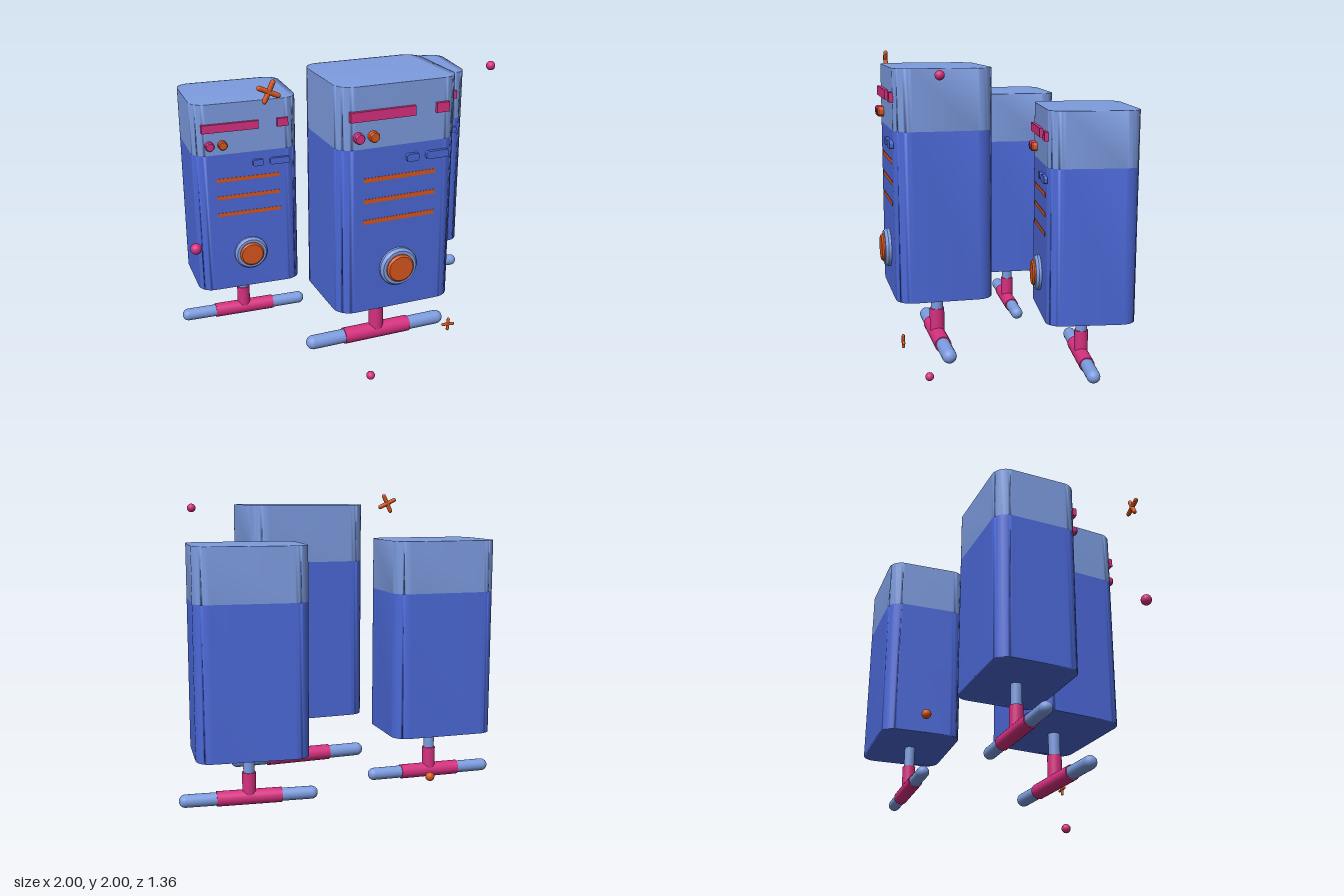
import * as THREE from 'three';
import { mergeVertices, toCreasedNormals } from 'three/addons/utils/BufferGeometryUtils.js';

const mat = (color) => new THREE.MeshStandardMaterial({ color });
const BLUE = mat(0x4c69d8), SKY = mat(0x7d9ce0), PINK = mat(0xd6307f), ORANGE = mat(0xd8561f);

function add(parent, name, geometry, material, x = 0, y = 0, z = 0) {
  const mesh = new THREE.Mesh(geometry, material);
  mesh.name = name;
  mesh.position.set(x, y, z);
  parent.add(mesh);
  return mesh;
}

function roundedRect(w, h, r) {
  const s = new THREE.Shape(), x = w / 2, y = h / 2;
  s.moveTo(-x + r, -y);
  s.lineTo(x - r, -y);
  s.absarc(x - r, -y + r, r, -Math.PI / 2, 0);
  s.lineTo(x, y - r);
  s.absarc(x - r, y - r, r, 0, Math.PI / 2);
  s.lineTo(-x + r, y);
  s.absarc(-x + r, y - r, r, Math.PI / 2, Math.PI);
  s.lineTo(-x, -y + r);
  s.absarc(-x + r, -y + r, r, Math.PI, Math.PI * 1.5);
  return s;
}

// Upright rounded block with softly blended normals
function softBlock(w, h, d, r) {
  const g = new THREE.ExtrudeGeometry(roundedRect(w, d, r), { depth: h, bevelEnabled: false, curveSegments: 6 });
  g.rotateX(-Math.PI / 2);
  g.deleteAttribute('normal');
  g.deleteAttribute('uv');
  const soft = mergeVertices(g, 1e-4);
  soft.computeVertexNormals();
  return soft;
}

// Round part facing +z, turned from a radius / depth profile
function turned(points) {
  const g = new THREE.LatheGeometry(points.map(([r, z]) => new THREE.Vector2(r, z)), 32);
  g.rotateX(Math.PI / 2);
  return toCreasedNormals(g, 0.6);
}

const W = 0.62, D = 0.49, FRONT = D / 2;

// One server, measured from the centre of its foot bar
function createServer(name) {
  const s = new THREE.Group();
  s.name = name;

  add(s, 'cabinet', softBlock(W, 0.85, D, 0.085), BLUE, 0, 0.27, 0);
  add(s, 'head', softBlock(W, 0.30, D, 0.085), SKY, 0, 1.12, 0);

  // Display strips on the head
  add(s, 'longStrip', new THREE.BoxGeometry(0.33, 0.048, 0.04), PINK, -0.095, 1.282, FRONT - 0.003);
  add(s, 'shortStrip', new THREE.BoxGeometry(0.065, 0.048, 0.04), PINK, 0.2125, 1.282, FRONT - 0.003);

  // Round buttons
  const button = turned([[0.026, 0], [0.026, 0.025], [0.021, 0.032], [0, 0.032]]);
  add(s, 'pinkButton', button, PINK, -0.218, 1.18, FRONT);
  add(s, 'orangeButton', button, ORANGE, -0.143, 1.18, FRONT);

  // Rounded keys
  for (const [x, w] of [[0.062, 0.062], [0.192, 0.118]]) {
    const key = new THREE.ExtrudeGeometry(roundedRect(w, 0.038, 0.01), { depth: 0.018, bevelEnabled: false, curveSegments: 4 });
    add(s, 'key', toCreasedNormals(key, 0.6), BLUE, x, 1.052, FRONT);
  }

  // Vent slots
  for (const y of [0.963, 0.856, 0.75]) {
    add(s, 'ventSlot', new THREE.BoxGeometry(0.375, 0.022, 0.02), ORANGE, 0.002, y, FRONT - 0.008);
  }

  // Dial and its ring
  add(s, 'dialRing', turned([[0.099, 0], [0.099, 0.014], [0.088, 0.029], [0.072, 0.029], [0.072, 0]]), SKY, 0, 0.49, FRONT);
  add(s, 'dial', turned([[0.072, 0], [0.072, 0.036], [0.063, 0.045], [0, 0.045]]), ORANGE, 0, 0.49, FRONT);

  // Post and foot
  add(s, 'post', new THREE.CylinderGeometry(0.032, 0.032, 0.28, 24), SKY, 0, 0.14, 0);
  add(s, 'postSleeve', new THREE.CylinderGeometry(0.039, 0.039, 0.145, 24), PINK, 0, 0.0725, 0);
  add(s, 'footBar', new THREE.CapsuleGeometry(0.037, 0.716, 8, 24), SKY).rotation.z = Math.PI / 2;
  add(s, 'footSleeve', new THREE.CylinderGeometry(0.043, 0.043, 0.37, 24), PINK).rotation.z = Math.PI / 2;
  return s;
}

// Floating cross of two rounded rods
function createCross(half, r, tilt) {
  const c = new THREE.Group();
  c.name = 'floatingCross';
  const rod = new THREE.CapsuleGeometry(r, 2 * (half - r), 6, 12);
  add(c, 'rod', rod, ORANGE);
  add(c, 'rod', rod, ORANGE).rotation.z = Math.PI / 2;
  c.rotation.z = tilt;
  return c;
}

export function createModel() {
  const model = new THREE.Group();
  model.name = 'serverTrio';

  const servers = [
    ['rightServer', -0.58, -0.215, 0, 1],
    ['middleServer', 0.105, 0.345, 3.2, 1.14],
    ['leftServer', 0.6, -0.425, -4, 1],
  ];
  for (const [name, x, z, turn, scale] of servers) {
    const s = createServer(name);
    s.position.set(x, 0.32, z);
    s.rotation.y = THREE.MathUtils.degToRad(turn);
    s.scale.setScalar(scale);
    model.add(s);
  }

  // Floating beads
  const beads = [
    [0.76, 1.92, 0.39, 0.026, PINK],
    [-0.97, 1.045, 0.39, 0.031, PINK],
    [0.06, 0.027, 0.39, 0.027, PINK],
    [-0.403, 0.415, -0.655, 0.026, ORANGE],
  ];
  for (const [x, y, z, r, m] of beads) add(model, 'bead', new THREE.SphereGeometry(r, 24, 16), m, x, y, z);

  // Floating crosses
  const crosses = [[-0.588, 1.94, 0.067, 0.014, -0.44], [0.476, 0.412, 0.042, 0.009, -0.06]];
  for (const [x, y, half, r, tilt] of crosses) {
    const c = createCross(half, r, tilt);
    c.position.set(x, y, 0.58);
    model.add(c);
  }
  return model;
}
